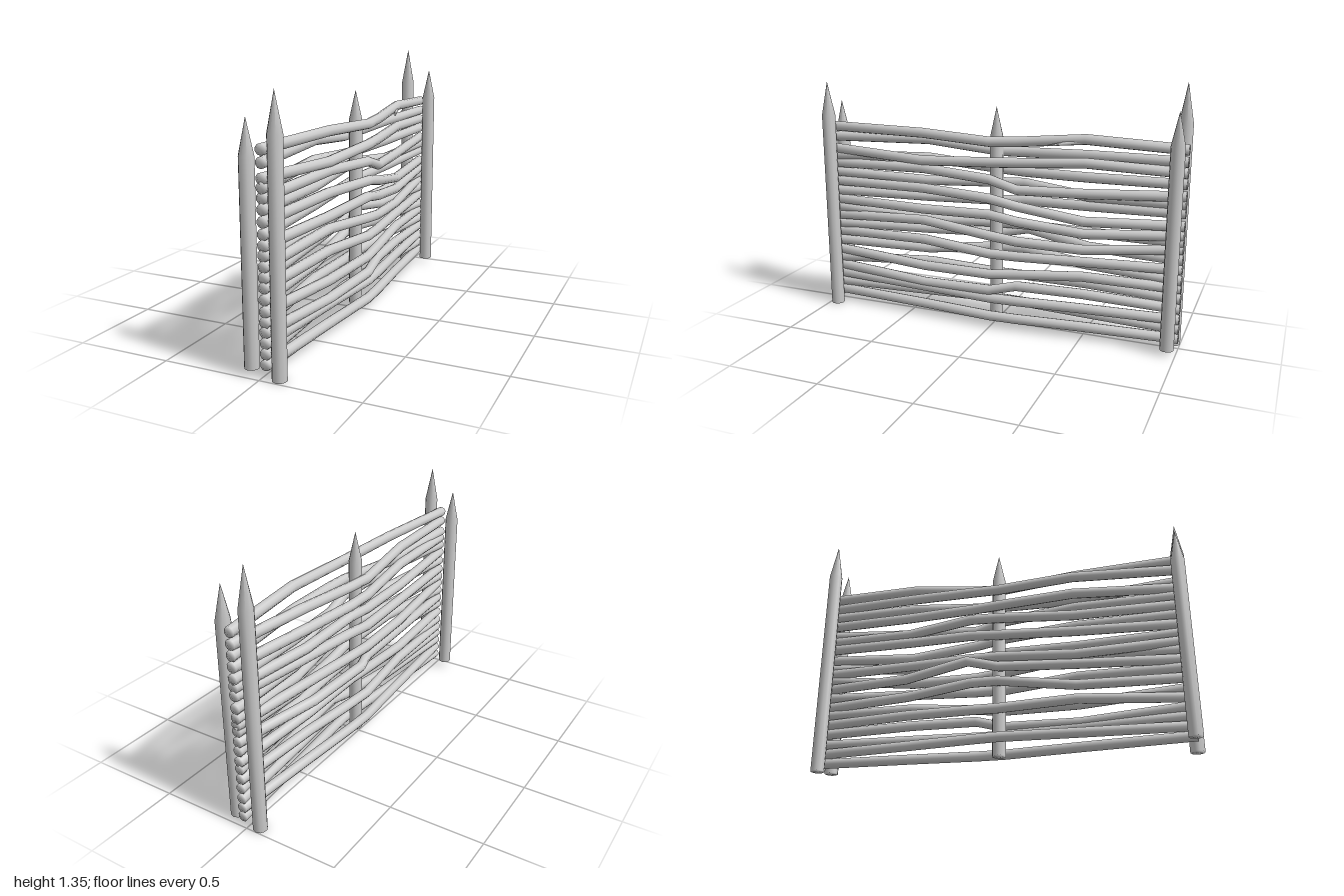
import * as THREE from 'three';
import { mergeVertices } from 'three/addons/utils/BufferGeometryUtils.js';

const material = new THREE.MeshStandardMaterial({ color: 0xcccccc });

// Places along the fence where rails bend, and how far they bow out there
const STATIONS = [0.97, 0.4, 0, -0.15, -0.5, -1];
const BOW_LEFT = [0, 0.038, 0.072, 0.066, 0.035, 0];
const BOW_RIGHT = [0, -0.038, -0.068, -0.061, -0.034, 0];

// Heights of the bent rails at the stations, lowest first
const BENDS = [
  [0.215, 0.19, 0.21, 0.25, 0.245, 0.222],
  [0.26, 0.29, 0.265, 0.27, 0.28, 0.275],
  [0.31, 0.287, 0.3, 0.315, 0.34, 0.33],
  [0.365, 0.365, 0.415, 0.42, 0.385, 0.372],
  [0.42, 0.44, 0.415, 0.415, 0.42, 0.43],
  [0.465, 0.48, 0.495, 0.515, 0.47, 0.48],
  [0.515, 0.55, 0.515, 0.497, 0.485, 0.535],
  [0.565, 0.535, 0.55, 0.555, 0.56, 0.57],
  [0.61, 0.612, 0.63, 0.605, 0.57, 0.605],
  [0.66, 0.665, 0.675, 0.69, 0.7, 0.72],
  [0.715, 0.73, 0.72, 0.69, 0.635, 0.655],
  [0.77, 0.757, 0.775, 0.785, 0.75, 0.765],
  [0.82, 0.84, 0.82, 0.775, 0.78, 0.805],
  [0.865, 0.885, 0.85, 0.845, 0.85, 0.865],
  [0.905, 0.883, 0.91, 0.918, 0.938, 0.92],
  [0.973, 0.985, 0.945, 0.95, 0.965, 0.975],
  [1.03, 1.033, 1.018, 1.027, 1.058, 1.035],
];
const STRAIGHT_RAILS = 3;
const RAIL_COUNT = STRAIGHT_RAILS + BENDS.length;
// Rails that spring out of the weave
const RIGHT_OUTLIER = 8;
const LEFT_OUTLIER = 13;

function addMesh(parent, name, geometry) {
  const mesh = new THREE.Mesh(geometry, material);
  mesh.name = name;
  parent.add(mesh);
  return mesh;
}

// Round shaft with a sharpened tip
function addPost(parent, name, x, z, bottom, shoulder, tip) {
  const radius = 0.036;
  const profile = [[0, bottom], [radius, bottom], [radius, shoulder], [0, tip]];
  const points = profile.map(([r, y]) => new THREE.Vector2(r, y));
  addMesh(parent, name, new THREE.LatheGeometry(points, 10)).position.set(x, 0, z);
}

// A straight rod whose rings are moved onto the rail's path, softly shaded at its ends
function makeRail(xs, ys) {
  const segments = STATIONS.length - 1;
  const rod = new THREE.CylinderGeometry(0.027, 0.027, segments, 10, segments);
  rod.rotateX(Math.PI / 2);
  const p = rod.attributes.position;
  for (let i = 0; i < p.count; i++) {
    const s = Math.round(segments / 2 - p.getZ(i));
    p.setXYZ(i, p.getX(i) + xs[s], p.getY(i) + ys[s], STATIONS[s]);
  }
  rod.deleteAttribute('normal');
  rod.deleteAttribute('uv');
  const geometry = mergeVertices(rod);
  geometry.computeVertexNormals();
  return geometry;
}

export function createModel() {
  const fence = new THREE.Group();
  fence.name = 'wovenFence';

  addPost(fence, 'frontLeftPost', 0.083, 0.96, 0, 1.1, 1.285);
  addPost(fence, 'frontRightPost', -0.058, 0.96, 0.035, 0.995, 1.165);
  addPost(fence, 'backLeftPost', 0.086, -0.955, 0.025, 1.06, 1.23);
  addPost(fence, 'backRightPost', -0.056, -0.965, 0, 1.15, 1.35);
  addPost(fence, 'middlePost', 0.013, -0.01, 0.03, 1.03, 1.19);

  // Woven rails: stacked at the ends, passing the middle post on either side
  const rails = new THREE.Group();
  rails.name = 'rails';
  for (let i = 0; i < RAIL_COUNT; i++) {
    const straight = STATIONS.map(() => 0.062 + i * 0.051);
    const ys = i < STRAIGHT_RAILS ? straight : BENDS[i - STRAIGHT_RAILS];
    const onLeft = (i >= STRAIGHT_RAILS) === (i % 2 === 1);
    const xs = (onLeft ? BOW_LEFT : BOW_RIGHT).map((bow) => 0.017 + bow);
    if (i === RIGHT_OUTLIER) {
      xs[3] = -0.108;
      xs[4] = -0.055;
    }
    if (i === LEFT_OUTLIER) {
      xs[2] = 0.099;
      xs[3] = 0.09;
    }
    addMesh(rails, 'rail', makeRail(xs, ys));
  }
  fence.add(rails);

  // Small twig growing from the top rail
  const from = new THREE.Vector3(0.052, 1.05, -0.5);
  const to = new THREE.Vector3(0.113, 1.025, -0.32);
  const direction = to.clone().sub(from);
  const twig = addMesh(fence, 'twig', new THREE.CylinderGeometry(0.003, 0.018, direction.length(), 8));
  twig.position.copy(from).add(to).multiplyScalar(0.5);
  twig.quaternion.setFromUnitVectors(new THREE.Vector3(0, 1, 0), direction.normalize());

  return fence;
}
